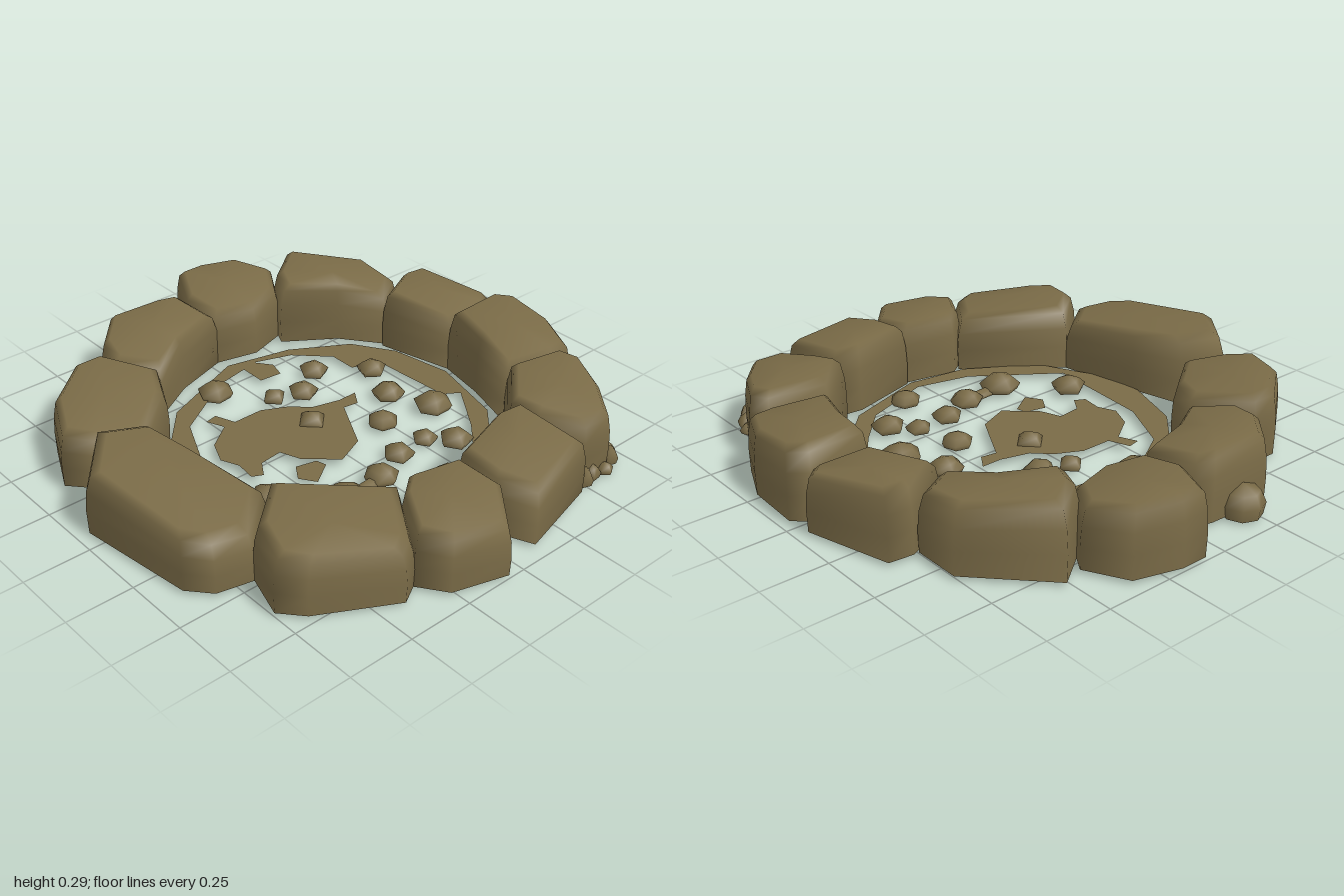
import * as THREE from 'three';

export function createModel() {
  const group = new THREE.Group();
  const earth = new THREE.MeshStandardMaterial({ color: 0x7a6b47, side: THREE.DoubleSide });
  earth.name = 'earthBrown';

  function add(geometry, name) {
    const mesh = new THREE.Mesh(geometry, earth);
    mesh.name = name;
    group.add(mesh);
    return mesh;
  }

  // Outlines are written in hundredths as x, z pairs.
  const pairs = (list) => {
    const out = [];
    for (let i = 0; i < list.length; i += 2) out.push(new THREE.Vector2(list[i] / 100, list[i + 1] / 100));
    return out;
  };

  // Open-bottomed lump: the outline shrinks level by level, then closes in a cap.
  function lump(name, outline, base, height, levels, slope = 0, crown = 1.03) {
    const n = outline.length;
    const c = outline.reduce((s, p) => s.add(p), new THREE.Vector2()).divideScalar(n);
    const pos = [], index = [];
    for (const [t, s] of levels) {
      for (const p of outline) {
        const dx = (p.x - c.x) * s, dz = (p.y - c.y) * s;
        pos.push(c.x + dx, base + t * (height - base - slope * dx), c.y + dz);
      }
    }
    pos.push(c.x, base + (height - base) * crown, c.y);
    const top = levels.length - 1;
    for (let k = 0; k <= top; k++) {
      for (let i = 0; i < n; i++) {
        const j = (i + 1) % n, a = k * n + i, b = k * n + j;
        if (k < top) index.push(b, a, a + n, b, a + n, b + n);
        else index.push(b, a, levels.length * n);
      }
    }
    const g = new THREE.BufferGeometry();
    g.setAttribute('position', new THREE.Float32BufferAttribute(pos, 3));
    g.setIndex(index);
    g.computeVertexNormals();
    return add(g, name);
  }

  // Ring of rounded boulders
  const boulderLevels = [[0, 1], [0.35, 1.01], [0.65, 0.99], [0.9, 0.93], [1, 0.81]];
  const boulder = (height, ...list) =>
    lump('boulder', pairs(list), 0.015, height, boulderLevels, 0.12);
  boulder(0.25, -39, -87, -7, -96, -2, -91, -2, -68, -32, -61, -40, -78);
  boulder(0.265, 3, -97, 25, -96, 41, -89, 42, -80, 38, -57, 17, -64, -2, -68, -3, -91);
  boulder(0.26, 42, -80, 50, -83, 67, -75, 81, -64, 81, -51, 65, -43, 54, -40, 38, -57);
  boulder(0.255, 57, -43, 86, -45, 95, -11, 81, -5, 64, -5, 56, -32);
  boulder(0.24, 65, -5, 83, -7, 100, 7, 94, 27, 84, 34, 67, 24, 61, 16);
  boulder(0.24, 62, 19, 84, 34, 88, 41, 73, 68, 65, 75, 49, 70, 35, 53);
  boulder(0.245, -18, 64, 3, 59, 35, 53, 49, 70, 46, 83, 38, 90, -6, 96, -25, 80);
  boulder(0.24, -48, 36, -34, 43, -18, 64, -25, 80, -34, 88, -53, 79, -68, 60, -68, 49);
  boulder(0.25, -85, 0, -65, -3, -58, 19, -48, 36, -61, 48, -74, 45, -88, 32, -87, 8);
  boulder(0.25, -95, -36, -80, -44, -66, -35, -61, -19, -65, -2, -82, 0, -100, -9, -100, -19);
  boulder(0.265, -83, -52, -58, -76, -40, -76, -32, -63, -48, -51, -61, -32, -72, -37);

  // Flat ground pieces
  function flat(name, y, list, holeList) {
    const flip = (l) => pairs(l).map((p) => new THREE.Vector2(p.x, -p.y));
    const shape = new THREE.Shape(flip(list));
    if (holeList) shape.holes.push(new THREE.Path(flip(holeList)));
    const g = new THREE.ShapeGeometry(shape);
    g.rotateX(-Math.PI / 2);
    g.translate(0, y, 0);
    add(g, name);
  }
  flat('groundRing', 0.025,
    [-59, -3, -53, -29, -40, -51, -24, -61, 0, -65, 30, -57, 51, -37, 62, -5, 59, 19, 43, 45, 19, 57, 0, 59, -24, 51, -45, 32],
    [-54, -13, -49, -27, -37, -39, -26, -39, -22, -50, 11, -52, 15, -58, 33, -45, 47, -32, 57, -5, 52, 16, 35, 40, 30, 47, -13, 44, -34, 34, -50, 8]);
  flat('ashPatch', 0.03,
    [-11, -27, -5, -23, -6, -17, 14, -6, 19, 6, 9, 17, 1, 20, 2, 29, 8, 33, 6, 37, -2, 36, -9, 39, -18, 35, -25, 25, -32, 28, -33, 23, -25, 20, -25, 8, -20, -2, -14, -8, -11, -19]);
  flat('ashScrap', 0.025, [13, 13, 17, 12, 23, 21, 17, 25, 11, 21]);
  flat('ashScrap', 0.025, [-56, -11, -48, -17, -41, -15, -42, -6, -53, -6]);

  // Pebbles: low pointed domes, each x, z, radius, sides
  const pebbles = [
    [-20, -44, 6, 5], [-3, -37, 6.5, 6], [14, -44, 7.5, 6], [10, -22, 6, 6],
    [-34, -26, 6, 5], [-25, -13, 6, 5], [-29, -2, 5, 4], [-7, -2, 6, 4],
    [28, -26, 5, 5], [36, -34, 6.5, 5], [29, -12, 6, 5], [50, -16, 6, 6],
    [35, 2, 6.5, 6], [37, 20, 8, 6], [-46, 13, 7, 6], [19, 40, 7, 5],
  ];
  const pebbleLevels = [[0, 0.85], [0.35, 1], [0.75, 0.6]];
  const ring = (x, z, r, sides, turn) => {
    const list = [];
    for (let i = 0; i < sides; i++) {
      const a = (i / sides) * Math.PI * 2 + turn;
      list.push(x + r * Math.cos(a), z + r * Math.sin(a));
    }
    return pairs(list);
  };
  pebbles.forEach(([x, z, r, sides], i) =>
    lump('pebble', ring(x, z, r, sides, sides === 4 ? 0 : i * 1.3), 0.015, 0.02 + r * 0.008, pebbleLevels));
  // Neck joining the two right-hand pebbles
  lump('pebbleNeck', pairs([33, 4, 38, 4, 39, 16, 34, 16]), 0.015, 0.045, pebbleLevels);

  // Side lump leaning on the ring
  lump('sideLump', ring(-88, 21, 8, 8, 0), 0.01, 0.12, [[0, 0.9], [0.4, 1], [0.8, 0.75]]);

  // Loose crumbs at the foot of one boulder
  const crumbs = [[70, -73], [75, -71], [79, -68], [82, -62], [81, -56], [82, -51], [79, -48]];
  crumbs.forEach(([x, z], i) =>
    lump('crumb', ring(x, z, 3.4, 5, i * 1.7), 0, 0.04 + (i % 3) * 0.015, pebbleLevels));

  return group;
}
